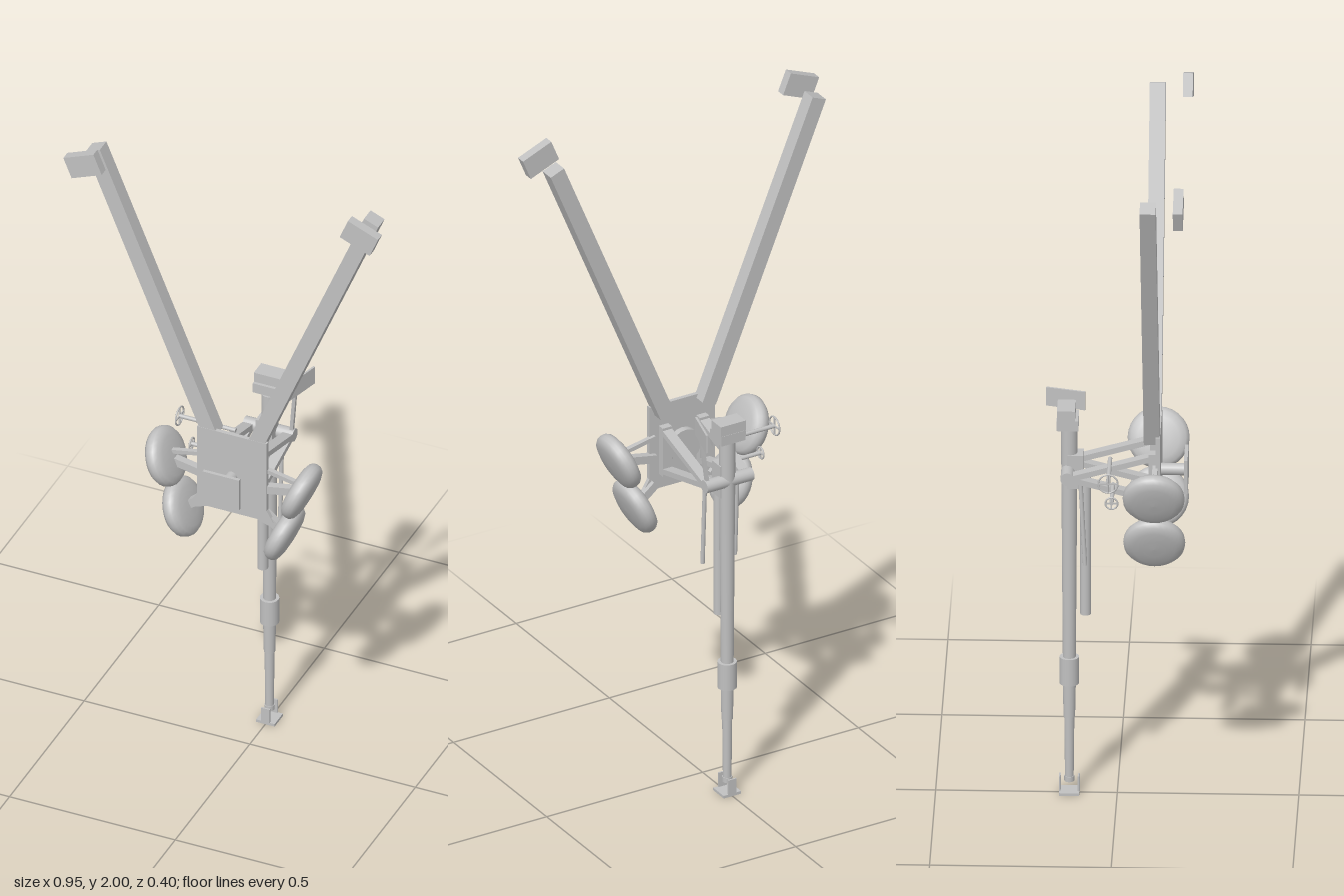
import * as THREE from 'three';

const steel = new THREE.MeshStandardMaterial({ color: 0xc0c0c0 });
steel.name = 'lightGreySteel';

const V = (x, y, z) => new THREE.Vector3(x, y, z);

export function createModel() {
  const root = new THREE.Group();
  root.name = 'fieldGun';

  function add(name, geometry, pos = [0, 0, 0], rot = [0, 0, 0]) {
    const m = new THREE.Mesh(geometry, steel);
    m.name = name;
    m.position.set(...pos);
    m.rotation.set(...rot);
    root.add(m);
    return m;
  }
  const box = (name, size, pos, rot) => add(name, new THREE.BoxGeometry(...size), pos, rot);

  // Align a y-axis geometry between two points
  function between(name, a, b, make) {
    const d = b.clone().sub(a);
    const m = add(name, make(d.length()));
    m.position.copy(a).add(b).multiplyScalar(0.5);
    m.quaternion.setFromUnitVectors(V(0, 1, 0), d.normalize());
    return m;
  }
  const rod = (name, a, b, r0, r1 = r0) =>
    between(name, a, b, (l) => new THREE.CylinderGeometry(r1, r0, l, 20));
  const beam = (name, a, b, w, d) =>
    between(name, a, b, (l) => new THREE.BoxGeometry(w, l, d));

  // Barrel, pointing straight down
  const bz = -0.132;
  const tube = [[0.045, 0.23, 0.012, 0.014], [0.23, 0.33, 0.016, 0.018], [0.33, 0.41, 0.027, 0.027],
    [0.41, 0.54, 0.018, 0.019], [0.54, 1.1, 0.019, 0.023]];
  for (const [y0, y1, r0, r1] of tube) rod('barrelSection', V(0, y0, bz), V(0, y1, bz), r0, r1);
  box('muzzleBrakeBase', [0.056, 0.008, 0.056], [0, 0.004, bz]);
  rod('muzzleBrakeCollar', V(0, 0.035, bz), V(0, 0.05, bz), 0.014);
  for (const s of [-1, 1]) box('muzzleBrakeSide', [0.026, 0.052, 0.005], [0, 0.026, bz + s * 0.026]);

  // Breech, recoil cylinder and trunnion
  box('breechBlock', [0.08, 0.05, 0.05], [0, 1.142, -0.14]);
  box('breechStep', [0.078, 0.03, 0.06], [0, 1.122, -0.136]);
  rod('recoilCylinder', V(0, 0.54, -0.087), V(0, 0.96, -0.087), 0.015);
  rod('trunnion', V(-0.075, 0.977, -0.135), V(0.075, 0.977, -0.135), 0.019);
  box('cradle', [0.05, 0.1, 0.045], [0, 0.977, -0.115]);

  // Sight plate beside the breech
  box('sightPlate', [0.006, 0.055, 0.112], [0.09, 1.148, -0.145], [0, -0.265, 0]);
  beam('sightStem', V(0.065, 0.98, -0.135), V(0.08, 1.13, -0.125), 0.01, 0.01);

  // Central carriage plate with turntable and ground pad
  const s = new THREE.Shape();
  [[-0.105, 1.12], [-0.105, 0.895], [-0.125, 0.86], [-0.115, 0.845], [-0.075, 0.86],
    [0.075, 0.86], [0.115, 0.845], [0.125, 0.86], [0.105, 0.895], [0.105, 1.12]]
    .forEach(([x, y], i) => (i ? s.lineTo(x, y) : s.moveTo(x, y)));
  add('carriagePlate', new THREE.ExtrudeGeometry(s, { depth: 0.012, bevelEnabled: false }), [0, 0, 0.109]);
  rod('turntable', V(0, 0.98, 0.09), V(0, 0.98, 0.112), 0.05);
  rod('padPost', V(0, 0.98, 0.12), V(0, 0.98, 0.188), 0.017);
  box('groundPad', [0.11, 0.1, 0.01], [0, 0.98, 0.19]);

  // Domed tyre, turned around its axle
  const tyre = new THREE.LatheGeometry(
    [[0, -0.03], [0.03, -0.029], [0.058, -0.026], [0.076, -0.02], [0.084, -0.01], [0.0855, 0],
      [0.084, 0.01], [0.076, 0.02], [0.058, 0.026], [0.03, 0.029], [0, 0.03]]
      .map(([r, y]) => new THREE.Vector2(r, y)), 28);

  for (const k of [-1, 1]) {
    // Spread trail with spade
    const lean = -k * 0.39;
    beam('trail', V(k * 0.067, 1.1, 0.098), V(k * 0.42, 1.957, 0.098), 0.046, 0.044);
    box('spade', [0.098, 0.066, 0.027], [k * 0.417, 1.953, 0.182], [0, 0, lean]);

    // Paired wheels and their arms
    for (const [x, y, ay] of [[0.205, 0.982, 0.96], [0.153, 0.828, 0.88]]) {
      add('wheel', tyre, [k * x, y, 0.107], [0, 0, Math.PI / 2 + lean]);
      beam('wheelArm', V(k * 0.09, ay, 0.107), V(k * x, y, 0.107), 0.024, 0.022);
    }
    beam('upperStrut', V(k * 0.09, 1.025, 0.107), V(k * 0.215, 1.0, 0.107), 0.012, 0.014);

    // Forked cradle arms from the carriage to the trunnion
    for (const y of [1.045, 0.915])
      beam('cradleArm', V(k * 0.06, y, 0.108), V(k * 0.06, 0.977, -0.13), 0.03, 0.016);
    box('cradleArmRoot', [0.03, 0.15, 0.024], [k * 0.06, 0.98, 0.1]);

    // Balancing rods
    rod('balancingRod', V(k * 0.052, 0.71, -0.087), V(k * 0.052, 0.97, -0.1), 0.006);
  }

  // Handwheels on the right side
  for (const [y, z, r, x] of [[1.032, -0.018, 0.029, -0.22], [0.955, -0.01, 0.019, -0.18]]) {
    rod('handwheelShaft', V(x, y, z), V(-0.05, y, z), 0.006);
    add('handwheelRim', new THREE.TorusGeometry(r - 0.002, 0.0025, 8, 24), [x, y, z], [0, Math.PI / 2, 0]);
    for (let i = 0; i < 2; i++)
      box('handwheelSpoke', [0.004, 2 * r - 0.004, 0.004], [x, y, z], [i * Math.PI / 2, 0, 0]);
  }
  return root;
}
